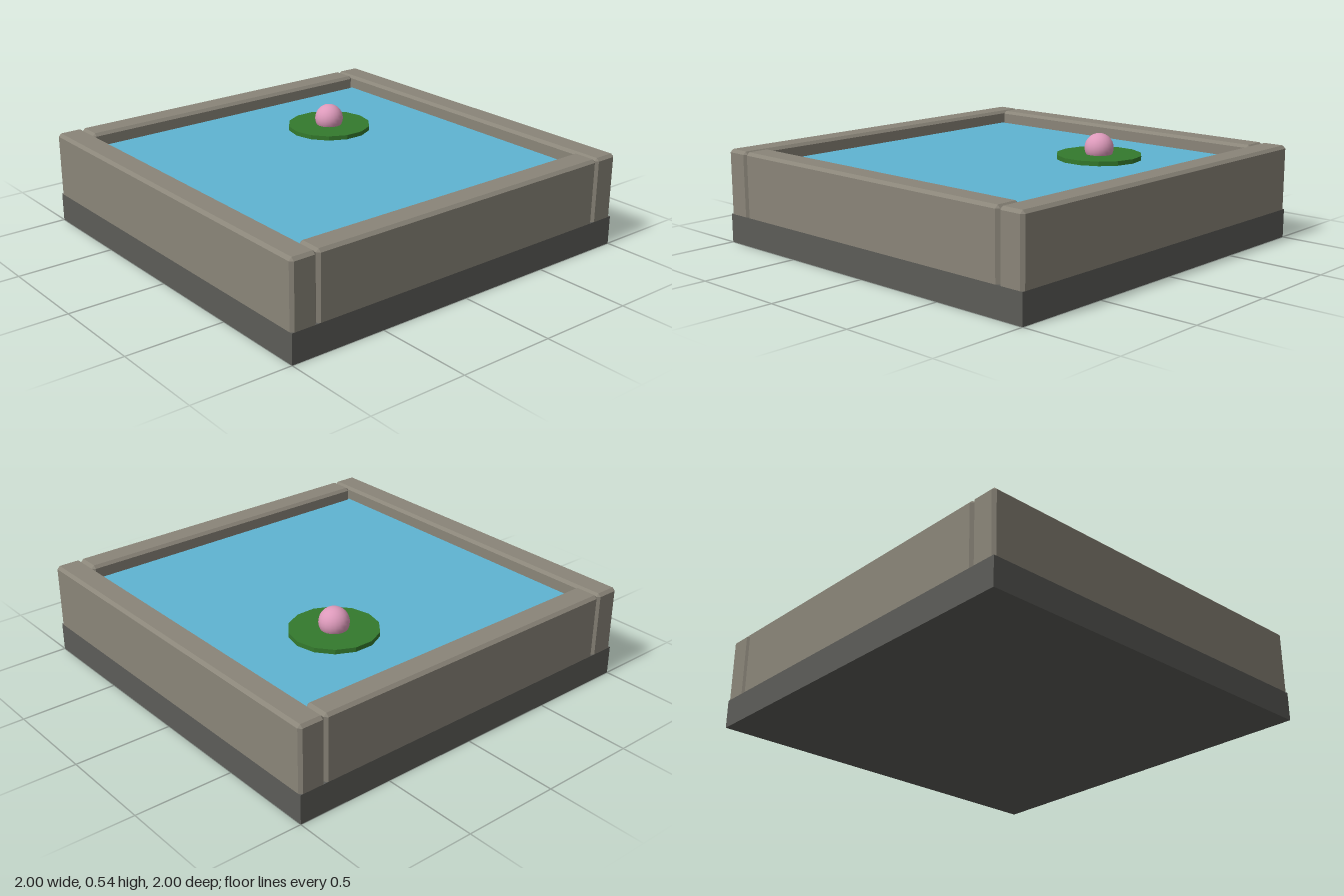
import * as THREE from 'three';
import { ConvexGeometry } from 'three/addons/geometries/ConvexGeometry.js';

const material = (name, color) => {
  const m = new THREE.MeshStandardMaterial({ color });
  m.name = name;
  return m;
};

// Block with chamfered top and upright edges, flat underneath.
function chamferedBlock(w, d, y0, y1, b) {
  const pts = [];
  for (const sx of [-1, 1]) for (const sz of [-1, 1]) {
    const x = sx * w / 2, z = sz * d / 2;
    const xi = x - sx * b, zi = z - sz * b;
    pts.push(new THREE.Vector3(xi, y1, zi));
    for (const y of [y0, y1 - b]) pts.push(new THREE.Vector3(x, y, zi), new THREE.Vector3(xi, y, z));
  }
  return new ConvexGeometry(pts);
}

export function createModel() {
  const group = new THREE.Group();
  group.name = 'pond';
  const stone = material('stone', 0x8a8579);
  const darkStone = material('dark stone', 0x5c5c58);
  const water = material('water', 0x5fb4d2);
  const leaf = material('leaf green', 0x347a2d);
  const petal = material('petal pink', 0xdd9abb);

  const add = (name, geometry, mat, x = 0, y = 0, z = 0) => {
    const mesh = new THREE.Mesh(geometry, mat);
    mesh.name = name;
    mesh.position.set(x, y, z);
    group.add(mesh);
  };

  const baseTop = 0.148, rim = 0.482, wall = 0.137, bevel = 0.015;

  // Floor slab
  add('base', new THREE.BoxGeometry(2, baseTop, 2), darkStone, 0, baseTop / 2, 0);

  // Surrounding walls: full-width front and back, side walls fitted between
  const offset = 1 - wall / 2;
  for (const s of [1, -1]) {
    add(s > 0 ? 'frontWall' : 'backWall',
      chamferedBlock(2, wall, baseTop, rim, bevel), stone, 0, 0, s * offset);
    add(s > 0 ? 'leftWall' : 'rightWall',
      chamferedBlock(wall, 2 - 2 * wall, baseTop, rim, bevel), stone, s * offset, 0, 0);
  }

  // Water body, tucked slightly into the walls
  const level = 0.412;
  add('water', new THREE.BoxGeometry(1.74, level - baseTop, 1.74), water, 0, (level + baseTop) / 2, 0);

  // Lily pad with a round bud
  add('lilyPad', new THREE.CylinderGeometry(0.22, 0.22, 0.03, 14).toNonIndexed(), leaf, -0.363, 0.42, -0.285);
  leaf.flatShading = true;
  add('lilyBud', new THREE.SphereGeometry(0.075, 20, 14), petal, -0.363, 0.467, -0.285);

  return group;
}
